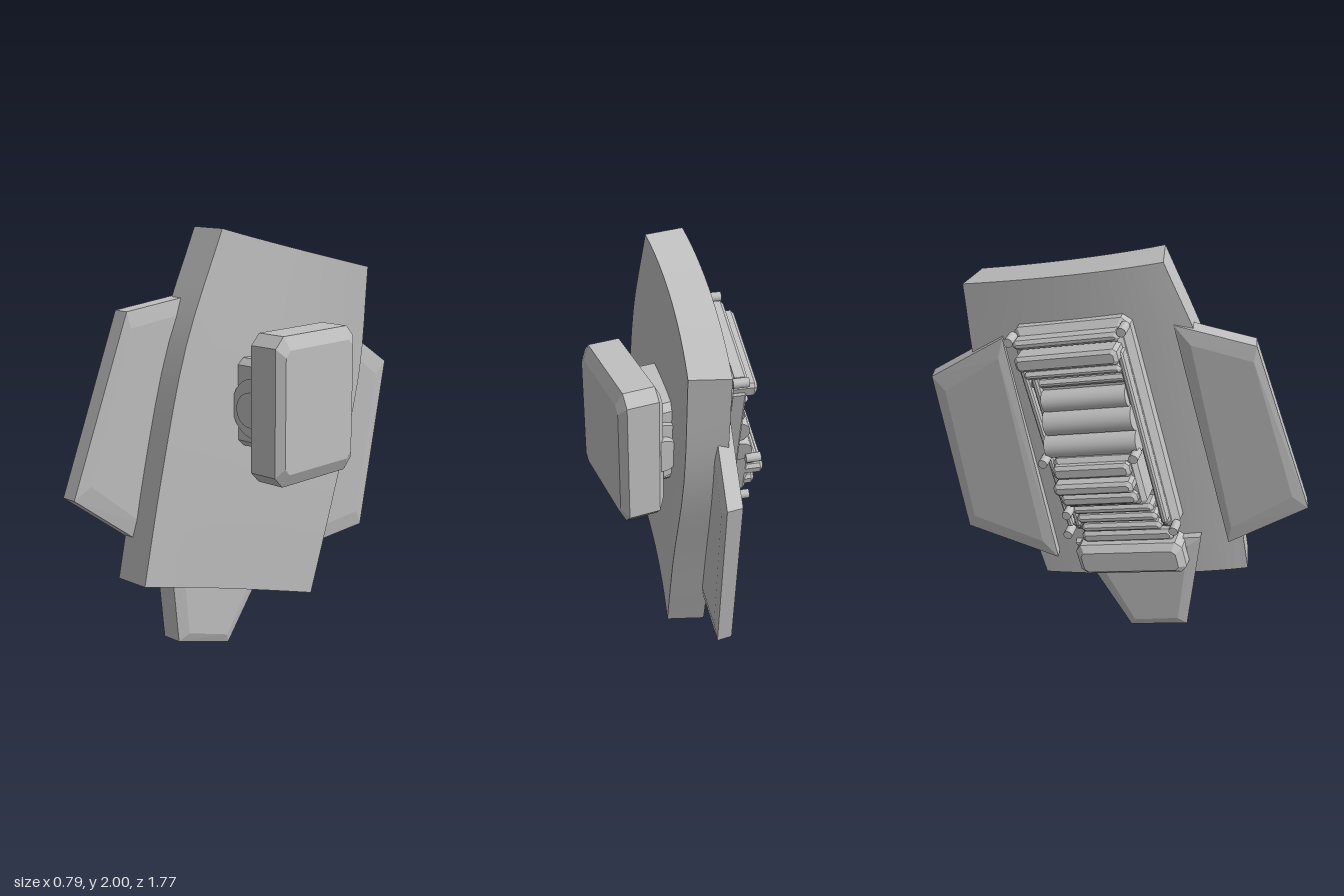
import * as THREE from 'three';
import { ConvexGeometry } from 'three/addons/geometries/ConvexGeometry.js';

const grey = new THREE.MeshStandardMaterial({ color: 0xc0c0c0 });
grey.name = 'armourGrey';

function add(parent, name, geometry) {
  const mesh = new THREE.Mesh(geometry, grey);
  mesh.name = name;
  parent.add(mesh);
  return mesh;
}

// Rectangle in the z-y plane with cut corners
function cutRect(w, h, c) {
  const a = w / 2, b = h / 2;
  return [[a, b - c], [a - c, b], [c - a, b], [-a, b - c], [-a, c - b], [c - a, -b], [a - c, -b], [a, c - b]];
}

// Convex solid from outlines [z, y], each placed at its own x
function hull(layers) {
  const pts = [];
  for (const [outline, x] of layers) {
    for (const [z, y] of outline) {
      pts.push(new THREE.Vector3(typeof x === 'function' ? x(z) : x, y, z));
    }
  }
  return new ConvexGeometry(pts);
}

// Slanted side fin with bevelled faces
function fin(outline, zRef, xRef, slope, thick, bulge) {
  const n = outline.length;
  const cz = outline.reduce((s, p) => s + p[0], 0) / n;
  const cy = outline.reduce((s, p) => s + p[1], 0) / n;
  const small = outline.map(([z, y]) => [cz + (z - cz) * 0.76, cy + (y - cy) * 0.84]);
  const at = (o) => (z) => xRef + slope * (z - zRef) + o;
  return hull([[outline, at(0)], [outline, at(thick)], [small, at(-bulge)], [small, at(thick + bulge)]]);
}

// Curved main plate: arc cross-sections lofted from bottom to top
function plateGeometry() {
  // left x, y, z then right x, y, z of the outer face
  const rows = [
    [-0.01, 0.44, 0.64, 0.16, 0.2, -0.3],
    [0.015, 0.96, 0.545, 0.185, 0.69, -0.435],
    [0.035, 1.51, 0.41, 0.2, 1.25, -0.59],
    [0.05, 2.0, 0.2, 0.205, 1.78, -0.635],
  ];
  const curve = (o) => new THREE.CatmullRomCurve3(rows.map((r) => new THREE.Vector3(r[o], r[o + 1], r[o + 2])));
  const left = curve(0), right = curve(3);
  const NU = 14, NV = 12;
  const point = (i, j, inner) => {
    const t = i / NU, l = left.getPoint(j / NV), r = right.getPoint(j / NV);
    const p = l.clone().lerp(r, t);
    p.x = l.x + (r.x - l.x) * Math.pow(t, 1.65);
    if (inner) p.add(new THREE.Vector3(-0.175 + 0.01 * t, 0, -0.06 * t));
    return p;
  };
  const pos = [], idx = [];
  // Each face is its own grid, so its edges stay sharp
  const grid = (nu, nv, f) => {
    const base = pos.length / 3;
    for (let j = 0; j <= nv; j++) for (let i = 0; i <= nu; i++) pos.push(...f(i, j).toArray());
    for (let j = 0; j < nv; j++) for (let i = 0; i < nu; i++) {
      const a = base + j * (nu + 1) + i, b = a + 1, c = a + nu + 1, d = c + 1;
      idx.push(a, b, d, a, d, c);
    }
  };
  grid(NU, NV, (i, j) => point(i, j, false));
  grid(NU, NV, (i, j) => point(NU - i, j, true));
  grid(1, NV, (i, j) => point(0, j, i === 0));
  grid(1, NV, (i, j) => point(NU, j, i === 1));
  grid(NU, 1, (i, j) => point(i, NV, j === 1));
  grid(NU, 1, (i, j) => point(i, 0, j === 0));
  const g = new THREE.BufferGeometry();
  g.setAttribute('position', new THREE.Float32BufferAttribute(pos, 3));
  g.setIndex(idx);
  g.computeVertexNormals();
  return g;
}

// Machinery on the inner side, built in a tilted frame with depth along -x
function machinery() {
  const g = new THREE.Group();
  g.name = 'machinery';
  g.position.set(-0.1, 1.17, -0.08);
  g.rotation.set(-0.245, -0.19, 0, 'YXZ');

  const block = (name, z, y, w, h, d0, d1, c = 0.015) => {
    const full = cutRect(w, h, c), top = cutRect(w - 2 * c, h - 2 * c, c * 0.6);
    add(g, name, hull([[full, -d0], [full, -d1 + c], [top, -d1]])).position.set(0, y, z);
  };
  const rod = (name, z, y, d, r, len) => {
    const m = add(g, name, new THREE.CylinderGeometry(r, r, len, 20));
    m.position.set(-d, y, z);
    m.rotation.x = Math.PI / 2;
  };
  const peg = (z, y, d) => {
    const m = add(g, 'peg', new THREE.CylinderGeometry(0.022, 0.022, 0.07, 12));
    m.position.set(-d, y, z);
    m.rotation.z = Math.PI / 2;
  };

  block('basePanel', 0, -0.02, 0.56, 1.1, -0.04, 0.06, 0.035);
  block('innerPanel', 0.01, -0.02, 0.48, 1.02, 0.05, 0.085, 0.02);
  // Long rails down both sides
  for (const z of [-0.235, -0.195, 0.235]) block('sideRail', z, -0.04, 0.028, 0.9, 0.06, 0.12, 0.008);
  // Upper cross bars
  block('topBar', 0, 0.48, 0.5, 0.045, 0.06, 0.12);
  block('topBar', 0, 0.41, 0.48, 0.075, 0.06, 0.17);
  block('topBar', 0, 0.335, 0.46, 0.04, 0.06, 0.14);
  block('topBar', 0, 0.275, 0.46, 0.04, 0.06, 0.11);
  // Round ribs
  rod('roundRib', 0.02, 0.19, 0.1, 0.05, 0.4);
  rod('roundRib', 0.02, 0.09, 0.12, 0.06, 0.42);
  rod('roundRib', 0.01, -0.02, 0.14, 0.055, 0.44);
  // Lower stacked block
  block('lowerBlock', 0.01, -0.2, 0.4, 0.27, 0.06, 0.2, 0.02);
  block('lowerBar', 0.0, -0.12, 0.37, 0.07, 0.18, 0.235);
  block('lowerBar', 0.0, -0.19, 0.38, 0.06, 0.18, 0.27);
  block('lowerBar', 0.0, -0.27, 0.37, 0.06, 0.18, 0.235);
  for (let i = 0; i < 3; i++) block('lowerRib', 0.02, -0.37 - i * 0.065, 0.4, 0.045, 0.06, 0.17 - i * 0.02);
  // Corner and side pegs
  for (const z of [-0.265, 0.265]) {
    peg(z, 0.5, 0.08);
    peg(z, -0.54, 0.08);
    peg(z * 0.82, -0.06, 0.2);
  }
  peg(-0.19, -0.36, 0.18);
  // Foot block below the panel
  block('footBlock', 0, -0.72, 0.54, 0.17, -0.05, 0.1, 0.03);
  block('footStep', 0, -0.61, 0.46, 0.06, -0.04, 0.05);
  return g;
}

export function createModel() {
  const model = new THREE.Group();
  model.name = 'shield';

  add(model, 'mainPlate', plateGeometry());
  add(model, 'frontFin', fin([[0.25, 1.71], [0.61, 1.66], [0.89, 0.86], [0.54, 0.59]], 0.61, -0.2, -0.18, 0.075, 0.012));
  add(model, 'rearFin', fin([[-0.52, 1.55], [-0.88, 1.28], [-0.75, 0.44], [-0.29, 0.36]], -0.88, 0.065, -0.25, 0.07, 0.012));
  add(model, 'bottomFin', fin([[0.41, 0.62], [0.36, 0.07], [0.08, 0], [-0.2, 0.46]], 0.36, -0.19, -0.18, 0.1, 0.015));
  model.add(machinery());

  // Outer mount: bevelled box on a neck with a hinge
  const mount = new THREE.Group();
  mount.name = 'mount';
  mount.position.set(0, 1.21, -0.08);
  model.add(mount);
  const big = cutRect(0.53, 0.68, 0.05), small = cutRect(0.46, 0.56, 0.03);
  add(mount, 'mountBox', hull([[small, 0.18], [big, 0.21], [big, 0.355], [small, 0.385]]));
  const neck = cutRect(0.38, 0.41, 0.03);
  add(mount, 'neck', hull([[neck, 0.02], [neck, 0.2]]));
  for (const [r, len] of [[0.14, 0.43], [0.08, 0.5]]) {
    const hinge = add(mount, 'hinge', new THREE.CylinderGeometry(r, r, len, 32));
    hinge.position.set(0.185, -0.01, 0);
    hinge.rotation.x = Math.PI / 2;
  }
  return model;
}
